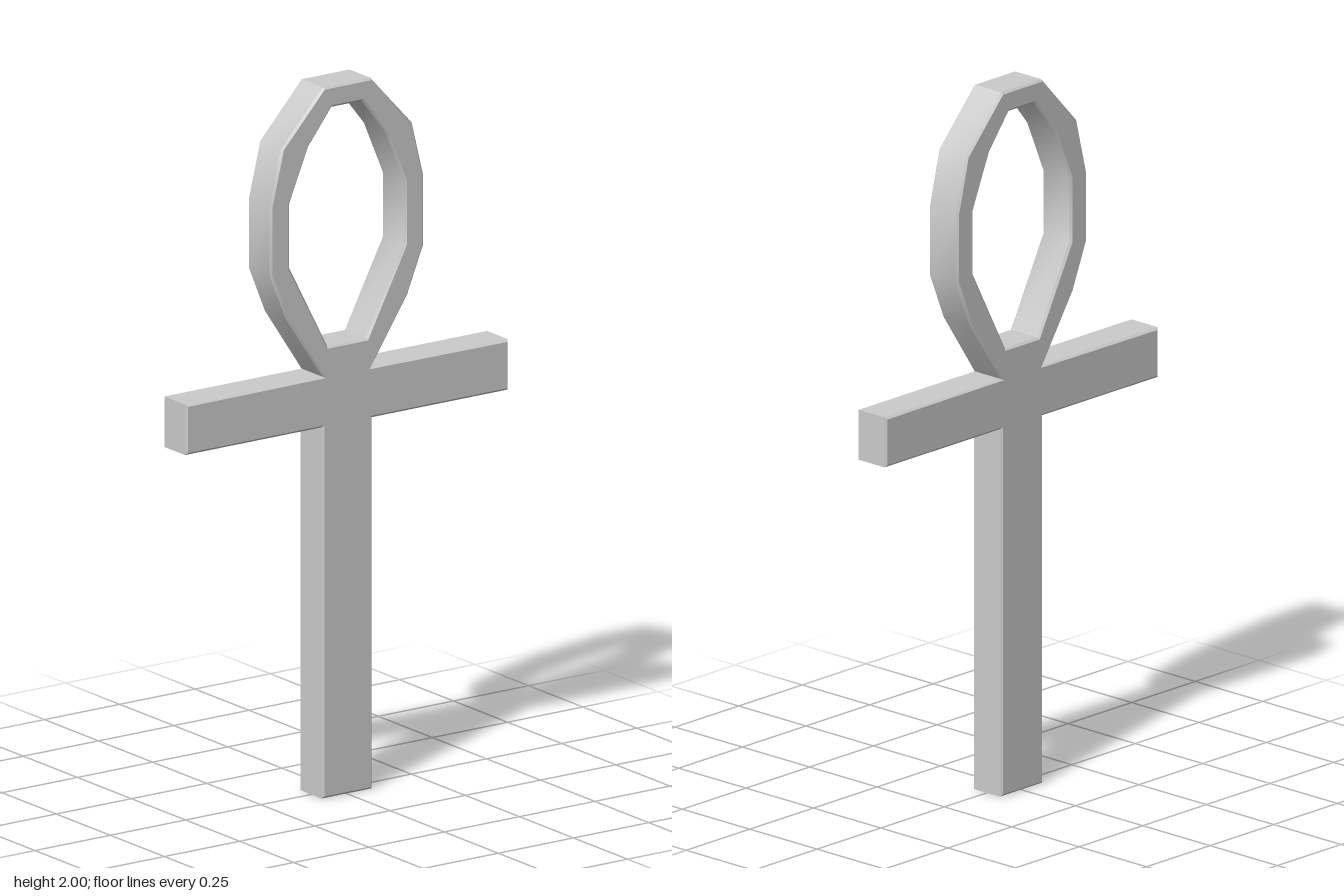
import * as THREE from 'three';
import { toCreasedNormals } from 'three/addons/utils/BufferGeometryUtils.js';

const THICKNESS = 0.108;
const BEVEL = 0.006;

// Mirrors a right-hand half outline (top to bottom) into a closed clockwise loop
function mirrored(half) {
  const right = half.map(([x, y]) => new THREE.Vector2(x, y));
  const left = half.map(([x, y]) => new THREE.Vector2(-x, y)).reverse();
  return [...right, ...left];
}

export function createModel() {
  const group = new THREE.Group();
  group.name = 'loopedCross';

  // Outline: loop, cross arm, stem
  const outline = new THREE.Shape(mirrored([
    [0.079, 2.0], [0.217, 1.85], [0.255, 1.695], [0.255, 1.5], [0.202, 1.37], [0.08, 1.186],
    [0.536, 1.186], [0.536, 1.044],
    [0.083, 1.044], [0.083, 0],
  ]));

  // Opening inside the loop, wound against the outline so its walls face inward
  outline.holes.push(new THREE.Path(mirrored([
    [0.05, 1.94], [0.127, 1.842], [0.191, 1.69], [0.191, 1.512], [0.064, 1.27],
  ]).reverse()));

  // Slab with small chamfered edges
  const slab = new THREE.ExtrudeGeometry(outline, {
    depth: THICKNESS - 2 * BEVEL,
    bevelEnabled: true,
    bevelThickness: BEVEL,
    bevelSize: BEVEL,
    bevelOffset: -BEVEL,
    bevelSegments: 1,
  });
  slab.translate(0, 0, BEVEL - THICKNESS / 2);

  const body = new THREE.Mesh(
    toCreasedNormals(slab, 0.55),
    new THREE.MeshStandardMaterial({ color: 0xcccccc }),
  );
  body.name = 'crossBody';
  group.add(body);
  return group;
}
